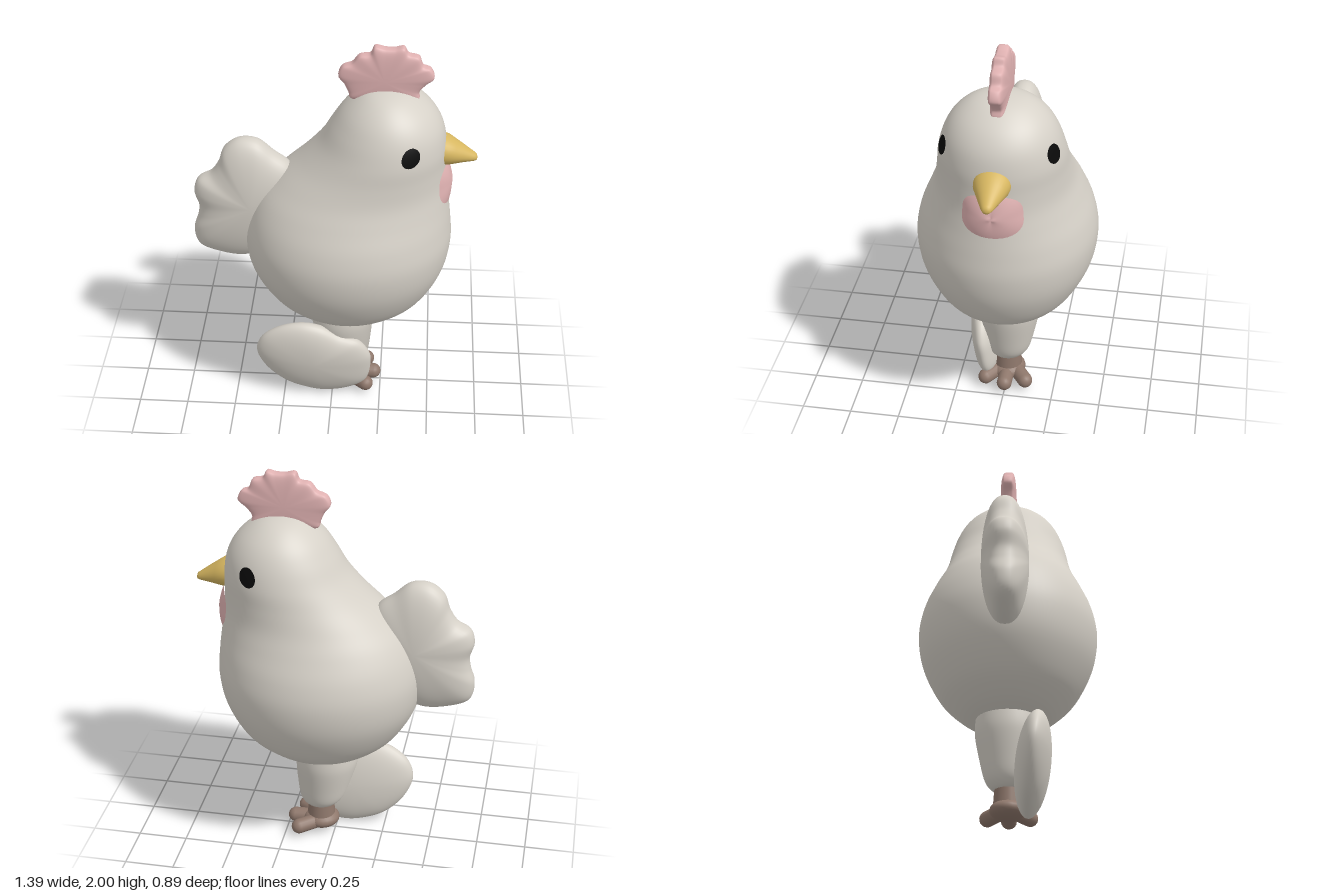
import * as THREE from 'three';
import { mergeVertices } from 'three/addons/utils/BufferGeometryUtils.js';
import { ParametricGeometry } from 'three/addons/geometries/ParametricGeometry.js';

const mat = (name, color) => Object.assign(new THREE.MeshStandardMaterial({ color }), { name });
const TAU = Math.PI * 2;

// Smooth surface from a rule f(u, v, target)
function surface(f, nu, nv) {
  const g = new ParametricGeometry(f, nu, nv);
  g.deleteAttribute('uv');
  g.deleteAttribute('normal');
  const merged = mergeVertices(g, 1e-5);
  merged.computeVertexNormals();
  return merged;
}

// Rounded cushion with a counter-clockwise outline in x, y; power sets how flat its faces are
function pillow(outline, cx, cy, depth, power, nu = 120) {
  const curve = new THREE.CatmullRomCurve3(outline.map(([x, y]) => new THREE.Vector3(x, y, 0)), true);
  const p = new THREE.Vector3();
  return surface((u, v, t) => {
    curve.getPoint(u % 1, p);
    const phi = v * Math.PI;
    const s = Math.sin(phi), c = -Math.cos(phi);
    const z = Math.sign(c) * Math.pow(Math.abs(c), 2 / power) * depth;
    t.set(cx + (p.x - cx) * s, cy + (p.y - cy) * s, z);
  }, nu, 28);
}

// Body sections: y, back x, front x, half width in z
const sections = [
  [0.475, 0.09, 0.09, 0], [0.485, -0.03, 0.21, 0.11], [0.51, -0.13, 0.29, 0.185], [0.56, -0.225, 0.375, 0.26],
  [0.65, -0.325, 0.475, 0.345], [0.8, -0.41, 0.553, 0.42], [0.95, -0.435, 0.582, 0.445], [1.08, -0.415, 0.575, 0.425],
  [1.2, -0.36, 0.56, 0.378], [1.3, -0.27, 0.547, 0.338], [1.4, -0.16, 0.542, 0.315], [1.5, -0.07, 0.54, 0.3],
  [1.6, -0.01, 0.52, 0.272], [1.68, 0.045, 0.473, 0.23], [1.74, 0.108, 0.405, 0.17], [1.775, 0.17, 0.335, 0.1],
  [1.79, 0.25, 0.25, 0],
];
const xs = new THREE.SplineCurve(sections.map((s) => new THREE.Vector2(s[1], s[2])));
const yz = new THREE.SplineCurve(sections.map((s) => new THREE.Vector2(s[0], s[3])));

function bodyPoint(angle, k, out, target) {
  const x = xs.getPoint(k), y = yz.getPoint(k);
  const rx = Math.max(0, (x.y - x.x) / 2) + out, rz = Math.max(0, y.y) + out;
  return target.set((x.x + x.y) / 2 + rx * Math.cos(angle), y.x, -rz * Math.sin(angle));
}

// Curve parameter of the body at a given height
function atHeight(y) {
  let lo = 0, hi = 1;
  for (let i = 0; i < 24; i++) {
    const m = (lo + hi) / 2;
    if (yz.getPoint(m).x < y) lo = m; else hi = m;
  }
  return (lo + hi) / 2;
}

// Patch lying on the body; lift(r, a) is its height above the skin
function patch(angle, y, da, dy, lift, shape = () => 1) {
  return surface((u, v, t) => {
    const a = (u % 1) * TAU, r = (1 - v) * shape(a);
    bodyPoint(angle + da * r * Math.cos(a), atHeight(y + dy * r * Math.sin(a)), lift(1 - v, a), t);
  }, 40, 10);
}

export function createModel() {
  const model = new THREE.Group();
  model.name = 'chicken';
  const feather = mat('feather', 0xd6d1c8);
  const pink = mat('comb pink', 0xe0b2b2);
  const yellow = mat('beak yellow', 0xd6b660);
  const brown = mat('foot brown', 0x8f786c);
  const black = mat('eye black', 0x0a0a0a);

  const add = (name, geometry, material, parent = model) => {
    const mesh = new THREE.Mesh(geometry, material);
    mesh.name = name;
    parent.add(mesh);
    return mesh;
  };

  add('body', surface((u, v, t) => bodyPoint((u % 1) * TAU, v, 0, t), 72, 80), feather);

  // Three-lobed tail
  add('tail', pillow([
    [-0.2, 1.12], [-0.2, 1.33], [-0.29, 1.41], [-0.37, 1.475], [-0.46, 1.478], [-0.53, 1.425], [-0.56, 1.345],
    [-0.6, 1.285], [-0.665, 1.245], [-0.685, 1.18], [-0.665, 1.1], [-0.672, 1.04], [-0.695, 0.96],
    [-0.675, 0.87], [-0.58, 0.825], [-0.44, 0.81], [-0.3, 0.88],
  ], -0.4, 1.14, 0.115, 2.4), feather);

  // Scalloped comb
  add('comb', pillow([
    [0.4, 1.73], [0.4, 1.77], [0.43, 1.81], [0.468, 1.845], [0.45, 1.89], [0.415, 1.905], [0.395, 1.95],
    [0.345, 1.965], [0.325, 1.997], [0.285, 1.99], [0.24, 1.99], [0.19, 1.998], [0.17, 1.96], [0.12, 1.95],
    [0.085, 1.91], [0.04, 1.89], [0.022, 1.845], [0.05, 1.805], [0.07, 1.76], [0.08, 1.73],
  ], 0.24, 1.83, 0.042, 5, 160), pink);

  // Beak: flat underside, rounded tip
  const rings = [[0.48, 1.465, 0.092, 0.085, 0.08], [0.55, 1.46, 0.084, 0.07, 0.073], [0.62, 1.437, 0.051, 0.046, 0.04],
    [0.67, 1.422, 0.028, 0.025, 0.02], [0.685, 1.419, 0.018, 0.017, 0.014], [0.69, 1.417, 0, 0, 0]];
  add('beak', surface((u, v, t) => {
    const k = v * (rings.length - 1), i = Math.min(Math.floor(k), rings.length - 2);
    const [x, y, rz, up, down] = rings[i].map((a, j) => THREE.MathUtils.lerp(a, rings[i + 1][j], k - i));
    const a = (u % 1) * TAU, s = Math.sin(a);
    t.set(x, y + s * (s > 0 ? up : down), -rz * Math.cos(a));
  }, 32, 10), yellow);

  // Two-lobed wattle below the beak
  add('wattle', patch(0, 1.3, 0.43, 0.105,
    (r, a) => 0.004 + 0.026 * (1 - r * r) * (0.75 + 0.25 * Math.abs(Math.cos(a))),
    (a) => 1 + 0.1 * Math.sin(2 * a) ** 2 * (Math.sin(a) > 0 ? 1.8 : 0.4)), pink);

  for (const side of [1, -1]) {
    add(side > 0 ? 'rightEye' : 'leftEye', patch(side * 1.12, 1.558, 0.165, 0.047, () => 0.004), black);
  }

  // Flat oval wing resting beside the leg
  const wing = add('wing', pillow([
    [0.2, 0.2], [0.195, 0.28], [0.14, 0.365], [0.04, 0.405], [-0.06, 0.46], [-0.16, 0.475], [-0.27, 0.445],
    [-0.36, 0.375], [-0.39, 0.285], [-0.35, 0.175], [-0.25, 0.07], [-0.13, 0.018], [-0.03, 0.004], [0.1, 0.035],
    [0.175, 0.09],
  ], -0.09, 0.24, 0.085, 2), feather);
  wing.geometry.applyMatrix4(new THREE.Matrix4().makeShear(0, 0, 0, 0.12, 0, 0));
  wing.geometry.computeVertexNormals();
  const box = new THREE.Box3().setFromBufferAttribute(wing.geometry.attributes.position);
  wing.position.z = 0.122 - (box.min.z + box.max.z) / 2;

  // Single tapered thigh
  const profile = [[0, 0.16], [0.06, 0.163], [0.09, 0.18], [0.115, 0.22], [0.135, 0.3], [0.155, 0.4], [0.16, 0.46], [0.155, 0.53]];
  const thigh = add('thigh', new THREE.LatheGeometry(
    new THREE.SplineCurve(profile.map(([x, y]) => new THREE.Vector2(x, y))).getPoints(28), 40), feather);
  const p = thigh.geometry.attributes.position;
  for (let i = 0; i < p.count; i++) p.setX(i, p.getX(i) + 0.035 + (0.5 - p.getY(i)) * 0.12);

  // Foot with ankle, heel and three toes
  const foot = new THREE.Group();
  foot.name = 'foot';
  model.add(foot);
  add('ankle', new THREE.CylinderGeometry(0.066, 0.075, 0.12, 24), brown, foot).position.set(0.075, 0.115, 0);
  const heel = add('heel', new THREE.SphereGeometry(1, 24, 16), brown, foot);
  heel.position.set(0.075, 0.065, 0);
  heel.scale.set(0.095, 0.05, 0.09);
  for (const [name, x, z] of [['middleToe', 0.212, 0], ['rightToe', 0.175, 0.103], ['leftToe', 0.175, -0.103]]) {
    const from = new THREE.Vector3(0.07, 0.062, z * 0.25), to = new THREE.Vector3(x, 0.056, z);
    const dir = to.clone().sub(from);
    const toe = add(name, new THREE.CapsuleGeometry(0.039, dir.length(), 8, 16), brown, foot);
    toe.position.copy(from).add(to).multiplyScalar(0.5);
    toe.quaternion.setFromUnitVectors(new THREE.Vector3(0, 1, 0), dir.normalize());
  }
  return model;
}
